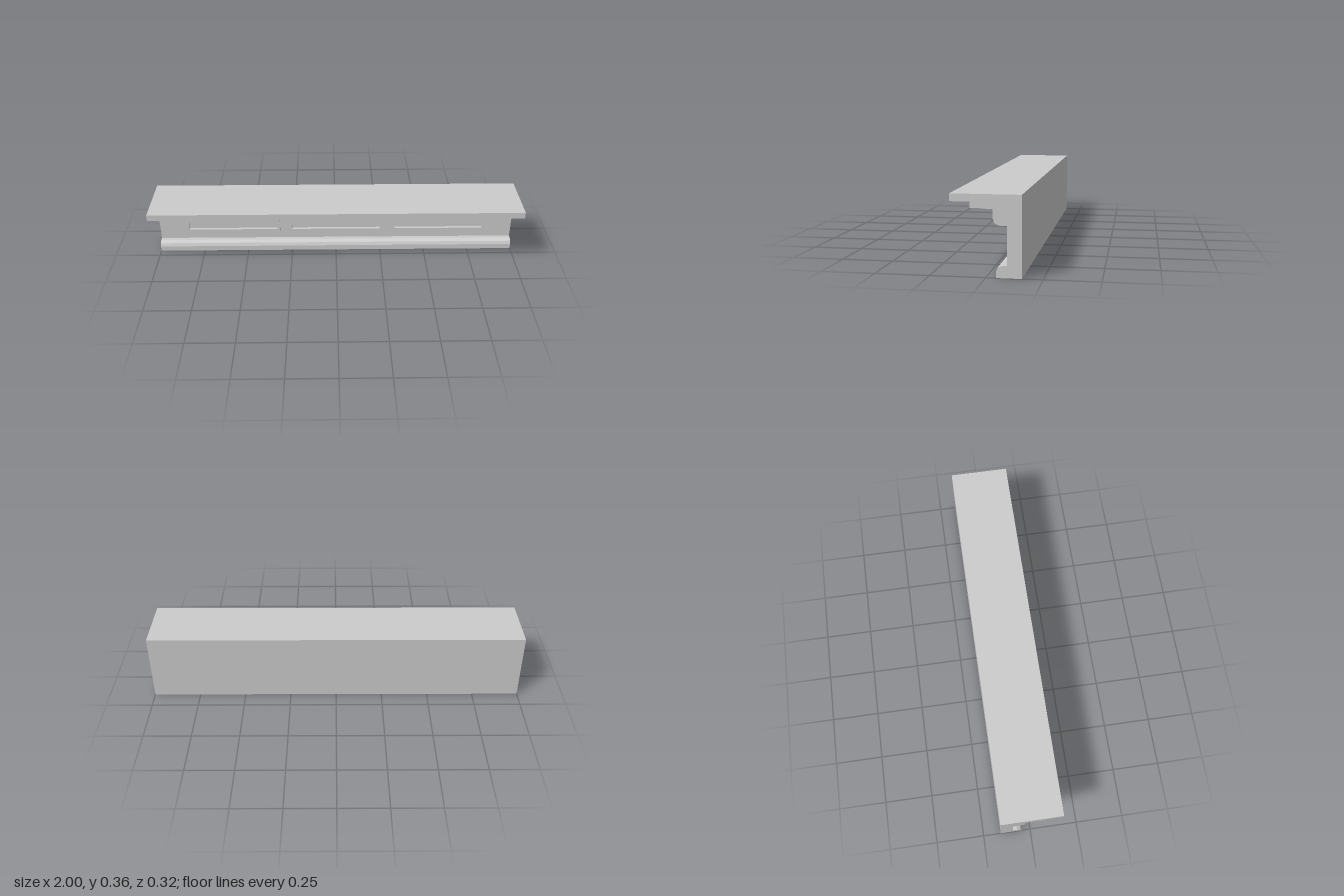
import * as THREE from 'three';

const material = new THREE.MeshStandardMaterial({ color: 0xcccccc, flatShading: true });

const LENGTH = 2;
const WALL_Z = -0.094; // front face of the flat frieze

// Cornice cross-section as [z, y], counter-clockwise from the bottom back corner
const PROFILE = [
  [-0.158, 0], [-0.045, 0],
  [-0.045, 0.029], [-0.052, 0.046], [-0.072, 0.055], [WALL_Z, 0.055], // base moulding
  [WALL_Z, 0.228], [-0.063, 0.228], [-0.04, 0.238], [-0.032, 0.259], // frieze and upper moulding
  [-0.032, 0.303], [0.068, 0.303], [0.068, 0.33], [0.158, 0.33], // stepped overhang
  [0.158, 0.364], [-0.158, 0.364],
];

function addMesh(parent, name, geometry, x = 0, y = 0, z = 0) {
  const mesh = new THREE.Mesh(geometry, material);
  mesh.name = name;
  mesh.position.set(x, y, z);
  parent.add(mesh);
  return mesh;
}

function rectangle(PathType, width, height) {
  const w = width / 2, h = height / 2;
  return new PathType([[-w, -h], [w, -h], [w, h], [-w, h]].map(([x, y]) => new THREE.Vector2(x, y)));
}

export function createModel() {
  const model = new THREE.Group();
  model.name = 'cornice';

  // Moulded body, swept along x
  const section = new THREE.Shape(PROFILE.map(([z, y]) => new THREE.Vector2(z, y)));
  const body = new THREE.ExtrudeGeometry(section, { depth: LENGTH, bevelEnabled: false });
  body.translate(0, 0, -LENGTH / 2).rotateY(-Math.PI / 2);
  addMesh(model, 'mouldedBody', body);

  // Row of dentils under the overhang
  const dentils = new THREE.Group();
  dentils.name = 'dentils';
  model.add(dentils);
  const dentil = new THREE.BoxGeometry(0.066, 0.021, 0.082);
  const count = 13, pitch = 0.1412;
  for (let i = 0; i < count; i++) {
    addMesh(dentils, 'dentil', dentil, (i - (count - 1) / 2) * pitch, 0.2925, 0.009);
  }

  // Three raised rectangular frames on the frieze
  const frames = new THREE.Group();
  frames.name = 'panelFrames';
  model.add(frames);
  const outline = rectangle(THREE.Shape, 0.53, 0.077);
  outline.holes.push(rectangle(THREE.Path, 0.498, 0.045));
  const frame = new THREE.ExtrudeGeometry(outline, { depth: 0.016, bevelEnabled: false });
  for (const x of [-0.583, 0, 0.583]) addMesh(frames, 'panelFrame', frame, x, 0.1435, WALL_Z);

  return model;
}
